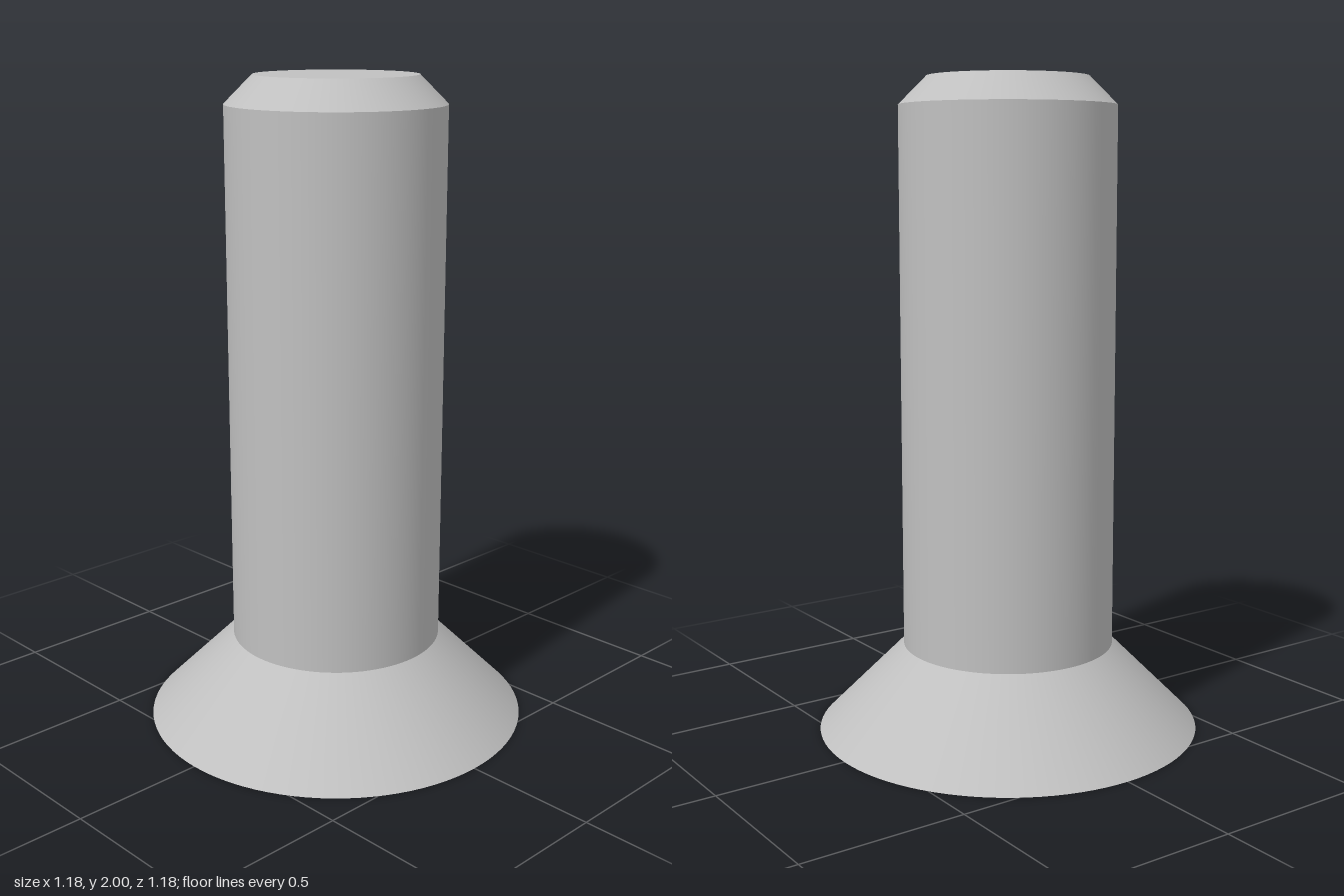
import * as THREE from 'three';

const SIDES = 96;

export function createModel() {
  const steel = new THREE.MeshStandardMaterial({ color: 0xc0c0c0 });
  steel.name = 'steel grey';

  const screw = new THREE.Group();
  screw.name = 'countersunkScrew';

  const add = (name, geometry, y) => {
    const mesh = new THREE.Mesh(geometry, steel);
    mesh.name = name;
    mesh.position.y = y;
    screw.add(mesh);
  };

  // Open-ended cone or cylinder wall between two heights
  const wall = (name, rBottom, rTop, y0, y1) =>
    add(name, new THREE.CylinderGeometry(rTop, rBottom, y1 - y0, SIDES, 1, true), (y0 + y1) / 2);

  // Flat end disc, facing up or down
  const disc = (name, radius, y, up) =>
    add(name, new THREE.CircleGeometry(radius, SIDES).rotateX(up ? -Math.PI / 2 : Math.PI / 2), y);

  disc('headFace', 0.592, 0, false);
  wall('countersunkHead', 0.592, 0.327, 0, 0.265);
  wall('shank', 0.327, 0.327, 0.265, 1.916);
  wall('tipChamfer', 0.327, 0.243, 1.916, 2);
  disc('tipFace', 0.243, 2, true);

  return screw;
}
